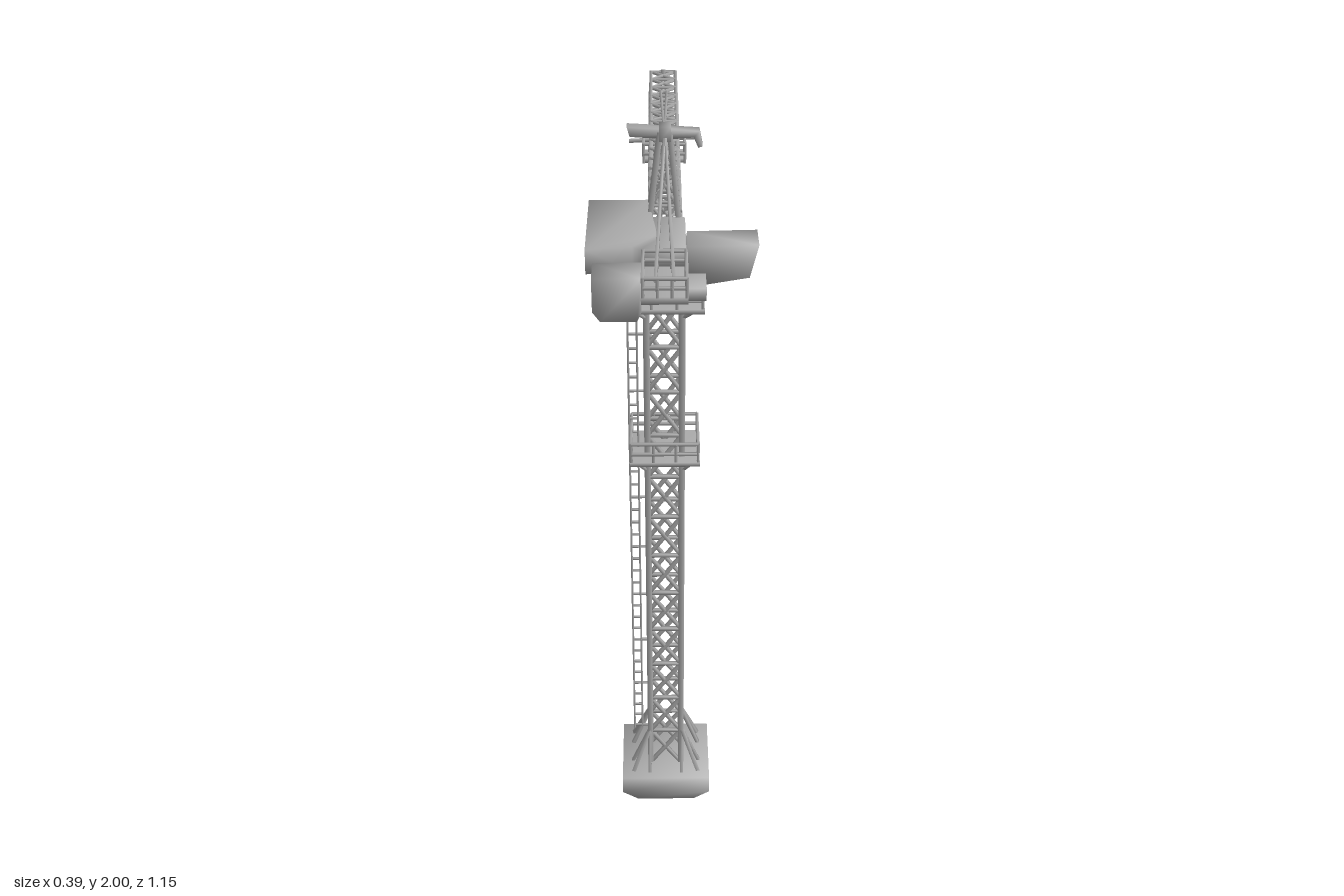
import * as THREE from 'three';
import { mergeGeometries, mergeVertices } from 'three/addons/utils/BufferGeometryUtils.js';
import { ConvexGeometry } from 'three/addons/geometries/ConvexGeometry.js';

const CX = -0.025, CZ = 0.232; // tower axis
const V = (x, y, z) => new THREE.Vector3(x, y, z);

// Square bar between two points
function beam(a, b, t) {
  const dir = b.clone().sub(a);
  const g = new THREE.BoxGeometry(t, dir.length(), t);
  g.applyQuaternion(new THREE.Quaternion().setFromUnitVectors(V(0, 1, 0), dir.normalize()));
  const m = a.clone().add(b).multiplyScalar(0.5);
  return g.translate(m.x, m.y, m.z);
}

// Box given by its limits
function block(x0, x1, y0, y1, z0, z1) {
  return new THREE.BoxGeometry(x1 - x0, y1 - y0, z1 - z0)
    .translate((x0 + x1) / 2, (y0 + y1) / 2, (z0 + z1) / 2);
}

// Shared corners with normals blended across the edges
function soften(geometry) {
  geometry.deleteAttribute('uv');
  geometry.deleteAttribute('normal');
  const g = mergeVertices(geometry, 1e-5);
  g.computeVertexNormals();
  return g;
}

// Four-sided lattice: ring(i) returns the four corners of section i
function lattice(ring, bays, chord, brace) {
  const out = [], r0 = ring(0), rN = ring(bays);
  for (let k = 0; k < 4; k++) {
    const n = (k + 1) % 4;
    out.push(beam(r0[k], rN[k], chord));
    for (let i = 0; i <= bays; i++) {
      const a = ring(i);
      out.push(beam(a[k], a[n], brace));
      if (i === bays) continue;
      const b = ring(i + 1);
      out.push(beam(a[k], b[n], brace), beam(a[n], b[k], brace));
    }
  }
  return out;
}

// Rectangle of corners at one height
const square = (cx, cz, hx, hz, y) =>
  [V(cx - hx, y, cz - hz), V(cx + hx, y, cz - hz), V(cx + hx, y, cz + hz), V(cx - hx, y, cz + hz)];

// Posts and two rails round a rectangle
function railing(cx, cz, hx, hz, y, h) {
  const out = [], c = square(cx, cz, hx, hz, y);
  for (let k = 0; k < 4; k++) {
    const a = c[k], b = c[(k + 1) % 4];
    for (const f of [0.5, 1]) {
      const up = V(0, h * f, 0);
      out.push(beam(a.clone().add(up), b.clone().add(up), 0.007));
    }
    for (let i = 0; i < 3; i++) {
      const p = a.clone().lerp(b, i / 3);
      out.push(beam(p, p.clone().add(V(0, h, 0)), 0.007));
    }
  }
  return out;
}

export function createModel() {
  const crane = new THREE.Group();
  crane.name = 'towerCrane';
  const steel = new THREE.MeshStandardMaterial({ color: 0xaaaaaa });
  steel.name = 'light grey steel';
  const add = (name, geos) => {
    const mesh = new THREE.Mesh(mergeGeometries(geos.map(soften)), steel);
    mesh.name = name;
    crane.add(mesh);
  };

  // Footing: square top, bottom corners cut away
  const foot = [];
  for (const sx of [-1, 1]) for (const sz of [-1, 1]) {
    const p = (x, y, z) => foot.push(V(CX + sx * x, y, CZ + sz * z));
    p(0.123, 0.085, 0.11);
    p(0.123, 0.03, 0.11);
    p(0.118, 0, 0.07);
    p(0.08, 0, 0.107);
  }
  add('footing', [new ConvexGeometry(foot)]);

  // Struts from the footing to the mast
  const struts = [];
  for (const sx of [-1, 1]) for (const sz of [-1, 1]) {
    const top = V(CX + sx * 0.045, 0.21, CZ + sz * 0.04);
    struts.push(beam(top, V(CX + sx * 0.092, 0.08, CZ + sz * 0.078), 0.011));
    struts.push(beam(top, V(CX + sx * 0.045, 0.08, CZ + sz * 0.085), 0.009));
    struts.push(beam(top, V(CX + sx * 0.095, 0.08, CZ + sz * 0.035), 0.009));
  }
  add('footStruts', struts);

  // Mast
  add('mast', lattice(i => square(CX, CZ, 0.043, 0.039, 0.08 + i * 0.125), 12, 0.015, 0.009));

  // Ladder beside the mast
  const lx = -0.102, ladder = [];
  for (const s of [-1, 1])
    ladder.push(beam(V(lx + s * 0.011, 0.18, CZ), V(lx + s * 0.011, 1.56, CZ), 0.005));
  for (let i = 0; i <= 34; i++) {
    const y = 0.19 + i * 0.04;
    ladder.push(beam(V(lx - 0.011, y, CZ), V(lx + 0.011, y, CZ), 0.005));
    if (i % 4 === 0) ladder.push(beam(V(lx, y, CZ), V(CX - 0.043, y, CZ), 0.005));
  }
  add('ladder', ladder);

  // Two platforms with railings
  for (const [name, y, hx, hz, h] of
    [['middlePlatform', 1.14, 0.087, 0.075, 0.058], ['upperPlatform', 1.575, 0.094, 0.087, 0.053]]) {
    add(name, [block(CX - hx, CX + hx, y - 0.006, y + 0.006, CZ - hz, CZ + hz),
      ...railing(CX, CZ, hx - 0.004, hz - 0.004, y, h)]);
    const props = [];
    for (const sx of [-1, 1]) for (const sz of [-1, 1])
      props.push(beam(V(CX + sx * 0.043, y - 0.04, CZ + sz * 0.039),
        V(CX + sx * (hx - 0.015), y, CZ + sz * (hz - 0.015)), 0.008));
    add(name + 'Props', props);
  }

  // Slewing ring and turntable
  add('slewingRing', [new THREE.CylinderGeometry(0.055, 0.055, 0.03, 12).translate(CX, 1.595, CZ)]);
  add('turntable', [block(CX - 0.04, CX + 0.045, 1.6, 1.74, CZ - 0.042, CZ + 0.035)]);

  // Operator cab
  const side = new THREE.Shape([[0.03, 1.712], [0.195, 1.715], [0.175, 1.632], [0.075, 1.615], [0.02, 1.65]]
    .map(p => new THREE.Vector2(...p)));
  add('cab', [new THREE.ExtrudeGeometry(side, { depth: 0.084, bevelEnabled: false }).translate(0, 0, 0.174)]);

  // Apex frame
  const feet = square(CX, CZ, 0.038, 0.034, 1.73), heads = square(-0.022, 0.238, 0.011, 0.007, 1.985);
  const frame = i => feet.map((p, k) => p.clone().lerp(heads[k], i / 3));
  add('apexFrame', lattice(frame, 3, 0.012, 0.006));

  // Cross head with a drooping arm
  const head = new THREE.Shape([[-0.106, 1.998], [0.055, 1.988], [0.062, 1.953], [0.052, 1.95],
    [0.042, 1.974], [-0.01, 1.97], [-0.1, 1.976]].map(p => new THREE.Vector2(...p)));
  add('crossHead', [new THREE.ExtrudeGeometry(head, { depth: 0.026, bevelEnabled: false }).translate(0, 0, 0.224),
    block(-0.035, -0.008, 1.965, 2, 0.222, 0.254)]);

  // Jib, rising slightly towards its tip
  const jx = -0.021, bays = 14;
  const jib = i => {
    const t = i / bays, z = 0.17 - 0.742 * t;
    const lo = 1.731 + 0.043 * t, hi = lo + 0.045 + 0.017 * Math.min(1, t * 8);
    return [V(jx - 0.036, lo, z), V(jx + 0.036, lo, z), V(jx + 0.033, hi, z), V(jx - 0.033, hi, z)];
  };
  const jibBars = lattice(i => jib(i + 1), bays - 1, 0.009, 0.007);
  const root = jib(0), next = jib(1);
  for (let k = 0; k < 4; k++) {
    jibBars.push(beam(root[k], next[k], 0.01), beam(root[k], next[(k + 1) % 4], 0.007));
    jibBars.push(beam(root[k], V(root[k].x, root[k].y, 0.2), 0.01));
  }
  jibBars.push(beam(V(jx, 1.82, -0.56), V(jx, 1.845, -0.56), 0.012));
  add('jib', jibBars);

  // Counter jib deck with railed end
  add('counterJib', [block(-0.076, 0.025, 1.73, 1.748, 0.18, 0.574),
    ...railing(-0.025, 0.505, 0.047, 0.066, 1.745, 0.045)]);
  add('winchHousing', [block(-0.07, 0.022, 1.745, 1.79, 0.265, 0.43)]);

  // Machinery house with one slanted rear corner
  const plan = new THREE.Shape([[-0.197, 0.198], [-0.06, 0.198], [-0.04, 0.385], [-0.095, 0.445], [-0.197, 0.46]]
    .map(([x, z]) => new THREE.Vector2(x, -z)));
  add('machineryHouse', [new THREE.ExtrudeGeometry(plan, { depth: 0.058, bevelEnabled: false })
    .rotateX(-Math.PI / 2).translate(0, 1.745, 0)]);

  // Counterweight and its cross beam
  const weight = [];
  for (const z of [0.455, 0.532]) for (const [x, y] of
    [[-0.182, 1.77], [-0.182, 1.69], [-0.165, 1.666], [-0.085, 1.666], [-0.075, 1.69], [-0.075, 1.77]])
    weight.push(V(x, y, z));
  add('counterweight', [new ConvexGeometry(weight), block(-0.08, 0.065, 1.715, 1.745, 0.458, 0.53)]);

  // Tie rods from the apex
  const peak = V(-0.022, 1.982, 0.238), ties = [];
  for (const s of [-1, 1]) {
    ties.push(beam(peak, V(-0.025 + s * 0.02, 1.765, 0.535), 0.007));
    ties.push(beam(peak, V(jx + s * 0.008, 1.835, -0.42), 0.006));
  }
  ties.push(beam(V(jx, 1.8, -0.19), V(jx, 1.875, -0.175), 0.008));
  add('tieRods', ties);

  // Trolley under the jib, with its cross bar
  const trolley = railing(jx, -0.205, 0.052, 0.035, 1.74, 0.05);
  trolley.push(block(-0.07, 0.028, 1.738, 1.75, -0.235, -0.175));
  trolley.push(beam(V(-0.11, 1.775, -0.23), V(0.07, 1.785, -0.23), 0.008));
  trolley.push(beam(V(jx, 1.79, -0.2), V(jx, 1.86, -0.2), 0.008));
  add('trolley', trolley);

  // Hoist ropes, pulley block and hook
  const ropes = [];
  for (const sx of [-1, 1]) for (const sz of [-1, 1])
    ropes.push(beam(V(jx + sx * 0.01, 1.74, -0.203 + sz * 0.013), V(jx + sx * 0.008, 1.455, -0.2 + sz * 0.011), 0.005));
  add('hoistRopes', ropes);
  add('pulleyBlock', [block(jx - 0.014, jx + 0.014, 1.415, 1.47, -0.217, -0.183)]);
  add('hook', [beam(V(jx, 1.43, -0.2), V(jx, 1.395, -0.2), 0.016),
    new THREE.TorusGeometry(0.012, 0.007, 6, 12, Math.PI * 1.5)
      .rotateZ(Math.PI).rotateY(Math.PI / 2).translate(jx, 1.383, -0.2)]);

  return crane;
}
